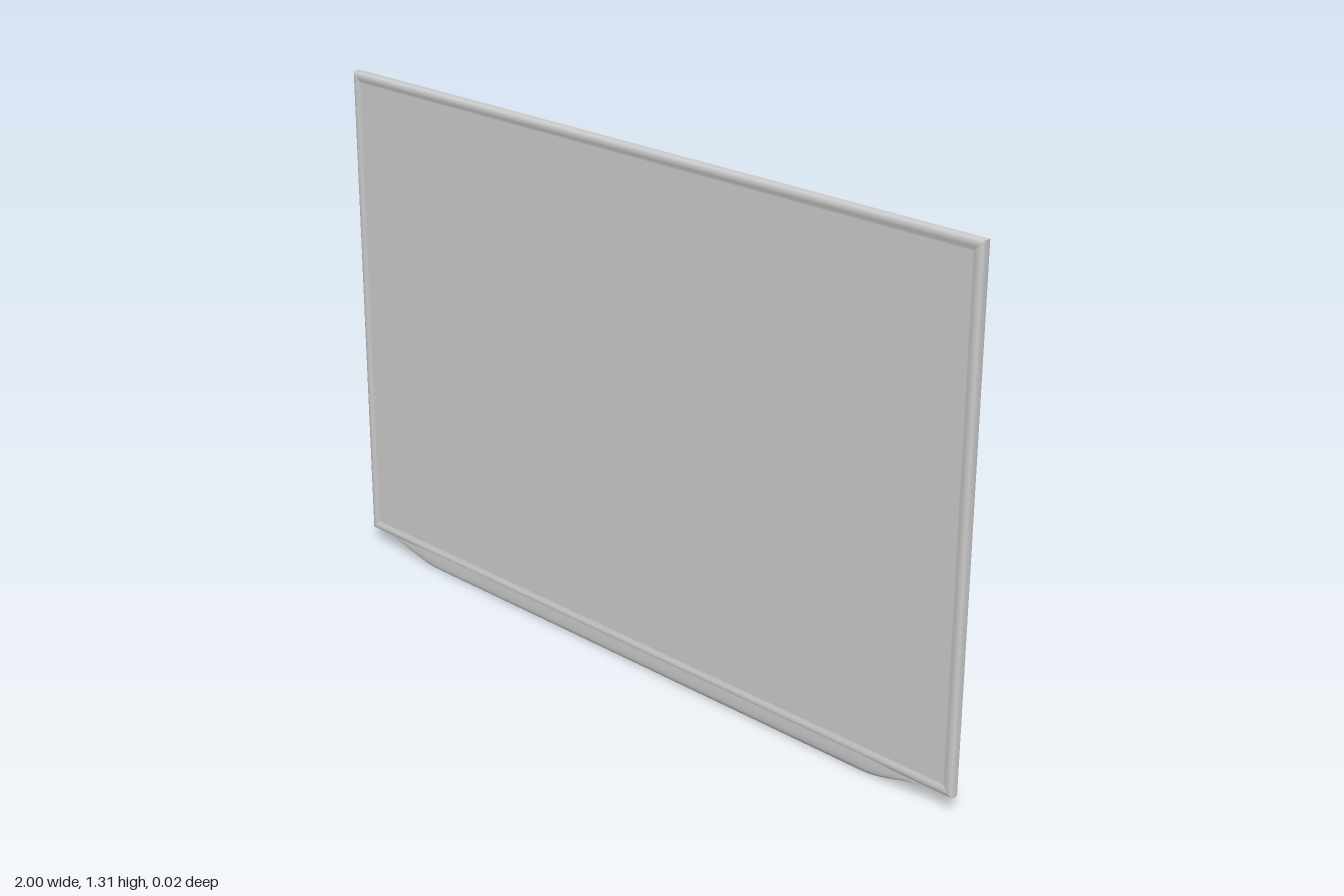
import * as THREE from 'three';

const BOTTOM = 0.04, TOP = 1.314, MID = (TOP + BOTTOM) / 2, HALF_H = (TOP - BOTTOM) / 2;

// Smooth surface through rows of points; faces along (row step) x (column step)
function surface(rows) {
  const cols = rows[0].length, index = [];
  for (let i = 0; i < rows.length - 1; i++) {
    for (let j = 0; j < cols - 1; j++) {
      const a = i * cols + j, b = a + cols;
      index.push(a, b, a + 1, b, b + 1, a + 1);
    }
  }
  const geometry = new THREE.BufferGeometry();
  geometry.setAttribute('position', new THREE.Float32BufferAttribute(rows.flat(2), 3));
  geometry.setIndex(index);
  geometry.computeVertexNormals();
  return geometry;
}

export function createModel() {
  const group = new THREE.Group();
  const material = new THREE.MeshStandardMaterial({ color: 0xcccccc });
  const add = (name, geometry, parent = group) => {
    const mesh = new THREE.Mesh(geometry, material);
    mesh.name = name;
    parent.add(mesh);
    return mesh;
  };

  // Frame: a rounded bead with mitred corners, as [inset, z] from back to screen
  const profile = [
    [0.003, -0.012], [0, -0.009], [0, 0.006], [0.002, 0.0095], [0.006, 0.0115],
    [0.011, 0.012], [0.016, 0.0115], [0.021, 0.0095], [0.026, 0.0085],
  ];
  const corners = [[-1, -1], [-1, 1], [1, 1], [1, -1]];
  const frame = new THREE.Group();
  frame.name = 'frame';
  group.add(frame);
  ['leftSide', 'topSide', 'rightSide', 'bottomSide'].forEach((_, k) => {
    const ends = [corners[k], corners[(k + 1) % 4]];
    const rows = profile.map(([inset, z]) =>
      ends.map(([sx, sy]) => [sx * (1 - inset), MID + sy * (HALF_H - inset), z]));
    add(['frameRight', 'frameTop', 'frameLeft', 'frameBottom'][k], surface(rows), frame);
  });

  // Screen, set slightly below the bead
  const screen = add('screen', new THREE.PlaneGeometry(1.948, 2 * (HALF_H - 0.026)));
  screen.position.set(0, MID, 0.0085);

  // Back panel, with normals softened towards its top and bottom edges
  const backGeometry = new THREE.PlaneGeometry(1.994, 2 * (HALF_H - 0.003));
  const { position, normal } = backGeometry.attributes;
  for (let i = 0; i < position.count; i++) {
    normal.setXYZ(i, 0, 0.3 * Math.sign(position.getY(i)), 1);
  }
  backGeometry.normalizeNormals();
  const back = add('backPanel', backGeometry);
  back.rotation.y = Math.PI;
  back.position.set(0, MID, -0.012);

  // Lower lip: rounded section [depth fraction, z] that fades out at both ends
  const section = [
    [-0.15, 0.0115], [0.3, 0.0118], [0.65, 0.0112], [0.85, 0.009],
    [0.97, 0.005], [1, 0.001], [1, -0.004], [0.9, -0.005], [-0.15, -0.005],
  ];
  const steps = 12, xs = [];
  for (let i = 0; i <= steps; i++) xs.push(-0.92 + 0.18 * i / steps);
  xs.push(...xs.map((x) => -x).reverse());
  const depth = (x) => {
    const t = THREE.MathUtils.clamp((0.92 - Math.abs(x)) / 0.18, 0, 1);
    return BOTTOM * (0.5 * Math.sin(t * Math.PI / 2) + 0.5 * t * t * (3 - 2 * t));
  };
  add('lowerLip', surface(section.map(([f, z]) => xs.map((x) => [x, BOTTOM - f * depth(x), z]))));

  return group;
}
